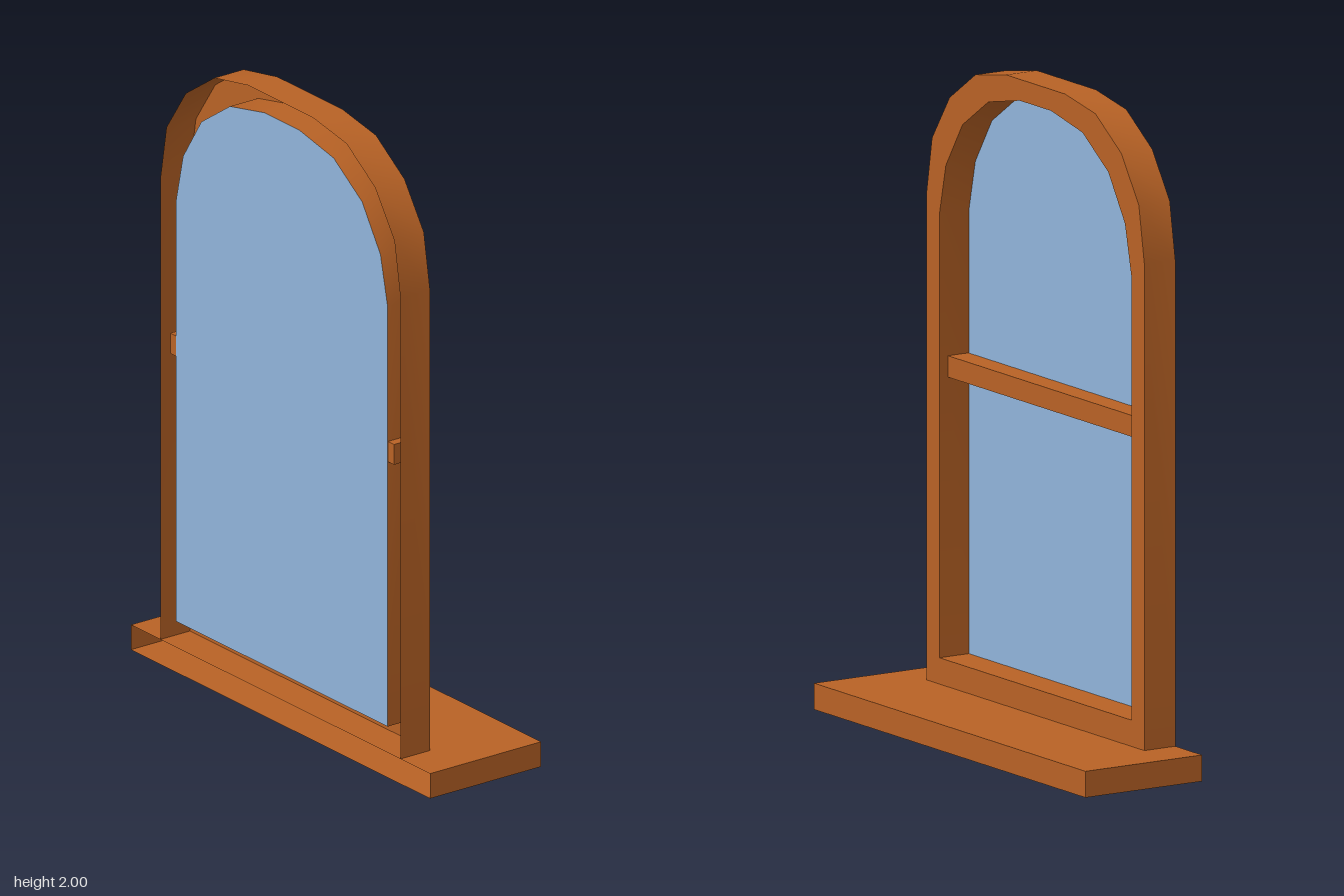
import * as THREE from 'three';
import { mergeGeometries, toCreasedNormals } from 'three/addons/utils/BufferGeometryUtils.js';

const wood = new THREE.MeshStandardMaterial({ color: 0xb86225, side: THREE.DoubleSide });
const glass = new THREE.MeshStandardMaterial({ color: 0x90b4da, side: THREE.DoubleSide });
const BACK = -0.21;

// Half outline on the right, bottom to top, mirrored to a closed counter-clockwise loop
function mirrored(half) {
  const right = half.map(([x, y]) => new THREE.Vector2(x, y));
  const left = half.map(([x, y]) => new THREE.Vector2(-x, y)).reverse();
  return [...right, ...left];
}

// Side walls running back from a closed outline
function walls(loop, depth) {
  const pos = [];
  loop.forEach((a, i) => {
    const b = loop[(i + 1) % loop.length];
    pos.push(a.x, a.y, 0, a.x, a.y, -depth, b.x, b.y, 0);
    pos.push(b.x, b.y, 0, a.x, a.y, -depth, b.x, b.y, -depth);
  });
  const geo = new THREE.BufferGeometry();
  geo.setAttribute('position', new THREE.Float32BufferAttribute(pos, 3));
  geo.computeVertexNormals();
  return geo;
}

// Front face plus walls, open at the back, turned to face +x
function openShell(name, outer, frontX, hole, holeDepth) {
  const shape = new THREE.Shape(outer);
  const parts = [walls(outer, frontX - BACK)];
  if (hole) {
    shape.holes.push(new THREE.Path(hole));
    parts.push(walls([...hole].reverse(), holeDepth));
  }
  const face = new THREE.ShapeGeometry(shape).toNonIndexed();
  face.deleteAttribute('uv');
  parts.push(face);
  const geo = toCreasedNormals(mergeGeometries(parts), 0.6);
  geo.rotateY(Math.PI / 2);
  const mesh = new THREE.Mesh(geo, wood);
  mesh.name = name;
  mesh.position.x = frontX;
  return mesh;
}

export function createModel() {
  const group = new THREE.Group();
  group.name = 'archedWindow';

  const outer = mirrored([
    [0.59, 0.08], [0.59, 1.56], [0.56, 1.735], [0.465, 1.875], [0.325, 1.97], [0.16, 2.0],
  ]);
  const opening = mirrored([
    [0.52, 0.16], [0.52, 1.51], [0.485, 1.665], [0.395, 1.805], [0.255, 1.9], [0.085, 1.935],
  ]);

  // Arched frame, hollow behind
  group.add(openShell('frame', outer, -0.1, opening, 0.105));

  // Sill
  group.add(openShell('sill', mirrored([[0.735, 0], [0.735, 0.08]]), 0.205));

  // Pane at the back of the opening
  const pane = new THREE.Mesh(new THREE.ShapeGeometry(new THREE.Shape(opening)), glass);
  pane.name = 'pane';
  pane.rotation.y = Math.PI / 2;
  pane.position.x = -0.205;
  group.add(pane);

  // Crossbar, its ends held inside the frame
  const bar = new THREE.Mesh(new THREE.BoxGeometry(0.073, 0.065, 1.1), wood);
  bar.name = 'crossbar';
  bar.position.set(-0.167, 1.043, 0);
  group.add(bar);

  return group;
}
